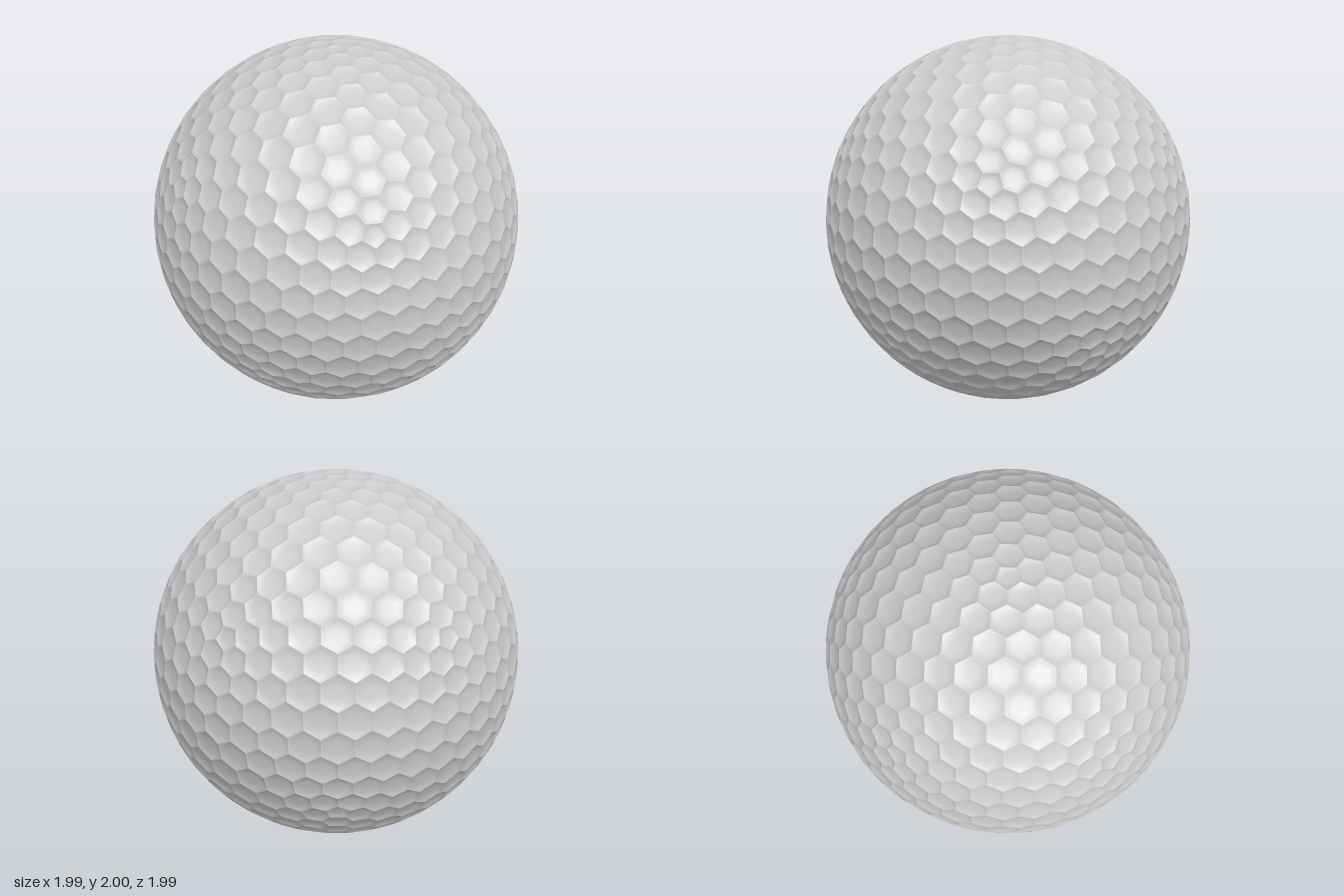
import * as THREE from 'three';
import { mergeVertices } from 'three/addons/utils/BufferGeometryUtils.js';

// Dimple profile from rim to centre: [scale of the cell outline, depth]
const PROFILE = [[1, 0], [0.8, 0.0055], [0.62, 0.0095], [0.35, 0.011]];
const FLOOR_DEPTH = 0.011;

// Icosahedron standing on a corner, split into a fine triangle sphere
function triangleSphere(detail) {
  const h = 1 / Math.sqrt(5), r = 2 * h;
  const verts = [0, 1, 0], faces = [];
  for (const [y, shift] of [[h, 0], [-h, 0.5]]) {
    for (let k = 0; k < 5; k++) {
      const a = (k + shift) * Math.PI * 0.4;
      verts.push(r * Math.cos(a), y, -r * Math.sin(a));
    }
  }
  verts.push(0, -1, 0);
  for (let k = 0; k < 5; k++) {
    const u0 = 1 + k, u1 = 1 + (k + 1) % 5;
    const l0 = u0 + 5, l1 = u1 + 5;
    faces.push(0, u0, u1, u0, l0, u1, l0, l1, u1, 11, l1, l0);
  }
  const geo = new THREE.PolyhedronGeometry(verts, faces, 1, detail);
  geo.deleteAttribute('uv');
  geo.deleteAttribute('normal');
  return mergeVertices(geo, 1e-4);
}

// One dimpled cell for every sphere point; its corners are the triangle centres around it
function dimpledSphere() {
  const base = triangleSphere(7);
  const pos = base.attributes.position, tri = base.index.array;
  const cells = Array.from({ length: pos.count }, () => []);
  const point = i => new THREE.Vector3().fromBufferAttribute(pos, i);
  for (let i = 0; i < tri.length; i += 3) {
    const ids = [tri[i], tri[i + 1], tri[i + 2]];
    const centre = new THREE.Vector3();
    ids.forEach(id => centre.add(point(id)));
    centre.normalize();
    ids.forEach(id => cells[id].push(centre));
  }

  const positions = [], index = [];
  cells.forEach((corners, id) => {
    const normal = point(id).normalize();
    const n = corners.length, start = positions.length / 3;
    const centre = new THREE.Vector3();
    corners.forEach(c => centre.addScaledVector(c, 1 / n));

    // Order the corners counter-clockwise seen from outside
    const t = corners[0].clone().sub(centre);
    t.addScaledVector(normal, -t.dot(normal)).normalize();
    const b = normal.clone().cross(t);
    const angle = c => {
      const d = c.clone().sub(centre);
      return Math.atan2(d.dot(b), d.dot(t));
    };
    const ordered = [...corners].sort((p, q) => angle(p) - angle(q));

    // Rings step inward and down to the floor
    for (const [scale, depth] of PROFILE) {
      for (const c of ordered) {
        const p = centre.clone().lerp(c, scale).addScaledVector(normal, -depth);
        positions.push(p.x, p.y, p.z);
      }
    }
    const floor = centre.clone().addScaledVector(normal, -FLOOR_DEPTH);
    positions.push(floor.x, floor.y, floor.z);

    const last = PROFILE.length - 1, hub = start + PROFILE.length * n;
    for (let k = 0; k < n; k++) {
      const k1 = (k + 1) % n;
      for (let ring = 0; ring < last; ring++) {
        const o = start + ring * n, i = o + n;
        index.push(o + k, o + k1, i + k1, o + k, i + k1, i + k);
      }
      index.push(start + last * n + k, start + last * n + k1, hub);
    }
  });

  // Cells do not share vertices, so ridges stay crisp and hollows smooth
  const geo = new THREE.BufferGeometry();
  geo.setAttribute('position', new THREE.Float32BufferAttribute(positions, 3));
  geo.setIndex(index);
  geo.computeVertexNormals();
  return geo;
}

export function createModel() {
  const group = new THREE.Group();
  group.name = 'golfBall';
  const ball = new THREE.Mesh(
    dimpledSphere(),
    new THREE.MeshStandardMaterial({ color: 0xcccccc })
  );
  ball.name = 'dimpledShell';
  ball.position.y = 1;
  group.add(ball);
  return group;
}
